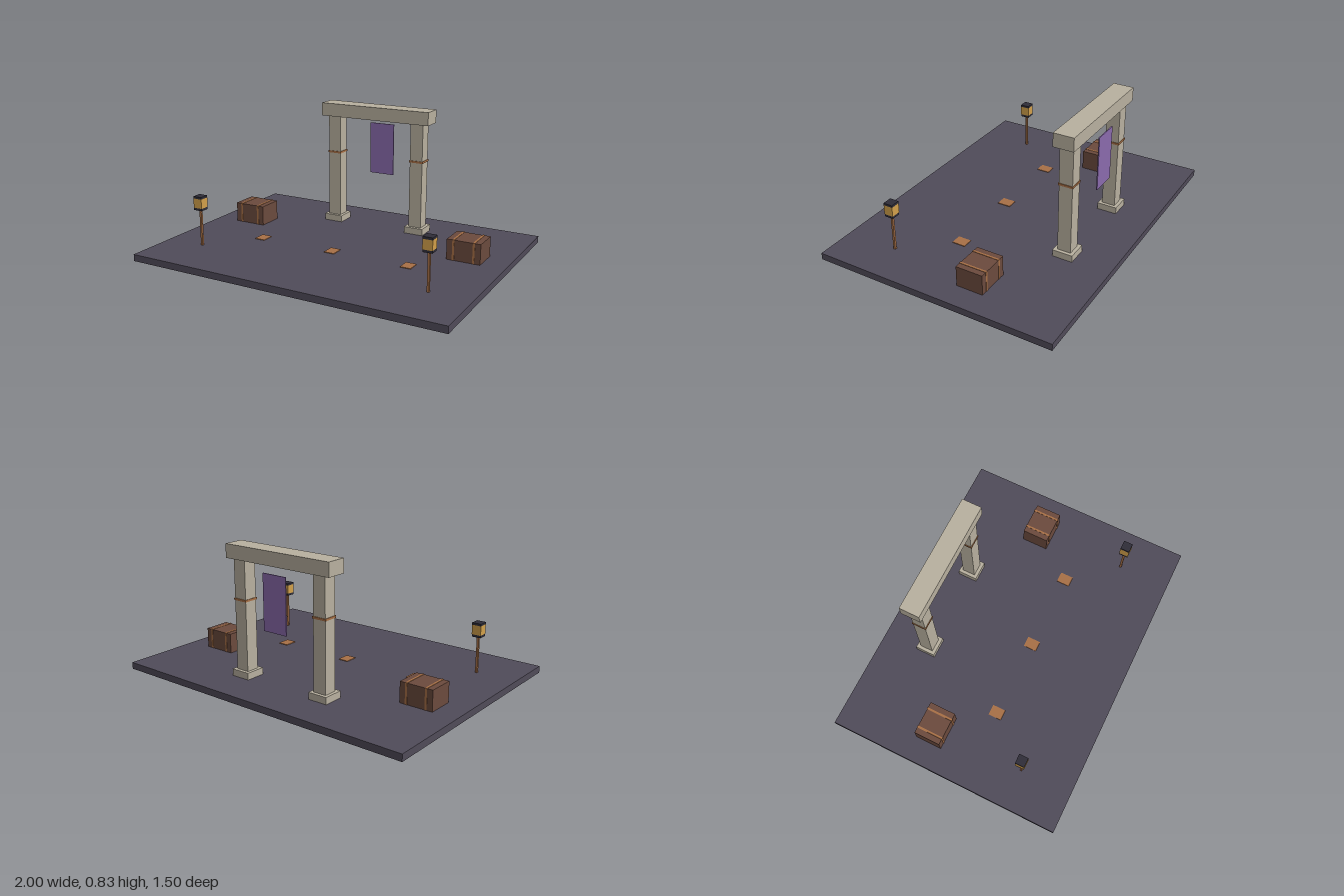
import * as THREE from 'three';

const U = 1 / 24; // one building unit
const mat = (color) => new THREE.MeshStandardMaterial({ color, flatShading: true });

export function createModel() {
  const root = new THREE.Group();
  const slate = mat(0x504b59), stone = mat(0xb8b09f), wood = mat(0x6b4a3d);
  const copper = mat(0xa87046), cloth = mat(0x8a6aac), glow = mat(0xd2a04a), iron = mat(0x2f2d38);

  // Box given by its size, centre x/z and bottom height, all in building units
  const box = (parent, name, material, [w, h, d], [x, bottom, z]) => {
    const mesh = new THREE.Mesh(new THREE.BoxGeometry(w * U, h * U, d * U), material);
    mesh.name = name;
    mesh.position.set(x * U, (bottom + h / 2) * U, z * U);
    parent.add(mesh);
  };
  const group = (name) => {
    const g = new THREE.Group();
    g.name = name;
    root.add(g);
    return g;
  };

  box(root, 'floor', slate, [48, 1, 36], [0, 0, 0]);

  // Stone gateway with hanging banner
  const gate = group('gateway');
  box(gate, 'lintel', stone, [18, 2, 3], [0, 18, -11]);
  box(gate, 'banner', cloth, [4, 8, 0.15], [0, 9, -12.65]);

  for (const [side, s] of [['left', 1], ['right', -1]]) {
    box(gate, side + 'Plinth', stone, [3, 1, 3], [7 * s, 1, -11]);
    box(gate, side + 'Pillar', stone, [2, 16, 2], [7 * s, 2, -11]);
    box(gate, side + 'PillarBand', copper, [2.2, 0.3, 2.2], [7 * s, 12.1, -11]);

    // Crate with two wrapped straps
    const crate = group(side + 'Crate');
    box(crate, 'crateBody', wood, [5, 3, 4], [18 * s, 1, -4]);
    for (const dx of [-1.5, 1.5])
      box(crate, 'crateStrap', copper, [0.3, 3.05, 4.1], [18 * s + dx, 1, -4]);

    // Lantern on a post
    const lantern = group(side + 'Lantern');
    box(lantern, 'lanternPost', copper, [0.32, 5.5, 0.32], [18 * s, 1, 10]);
    box(lantern, 'lanternBottom', iron, [1.36, 0.35, 1.36], [18 * s, 6.45, 10]);
    box(lantern, 'lanternLight', glow, [1.4, 1.4, 1.4], [18 * s, 6.8, 10]);
    box(lantern, 'lanternCap', iron, [1.4, 0.32, 1.4], [18 * s, 8.2, 10]);
  }

  // Row of floor tiles
  for (const x of [-12, 0, 12])
    box(root, 'floorTile', copper, [1.6, 0.1, 2], [x, 1, 3]);

  return root;
}
